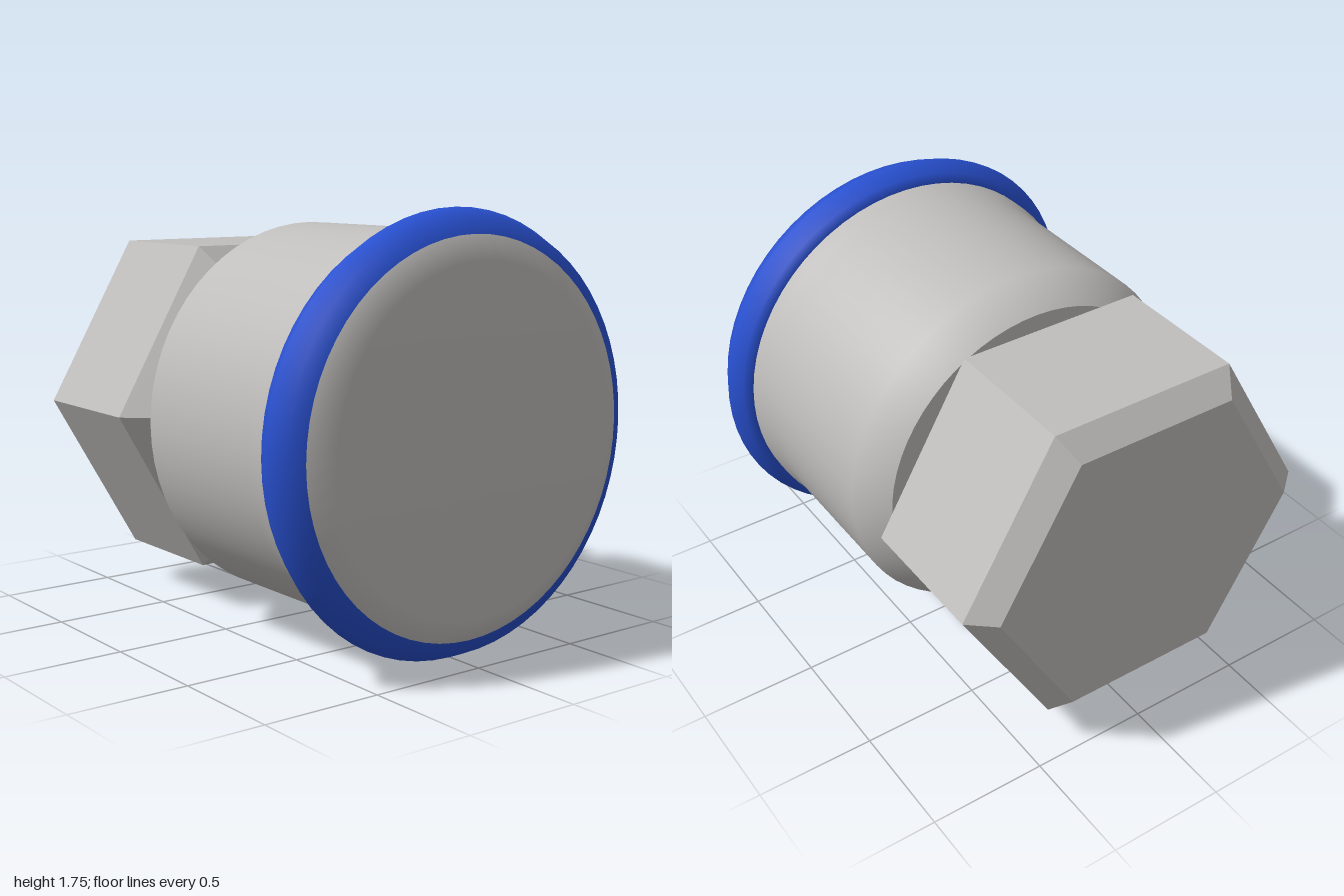
import * as THREE from 'three';

const CENTER_Y = 0.877;

// Revolves [x, radius] pairs, listed from -x to +x, around the x axis
function revolve(points, sides) {
  const geometry = new THREE.LatheGeometry(points.map(([x, r]) => new THREE.Vector2(r, x)), sides);
  return geometry.rotateZ(-Math.PI / 2);
}

export function createModel() {
  const steel = new THREE.MeshStandardMaterial({ color: 0xc0bebc });
  steel.name = 'steel';
  const blue = new THREE.MeshStandardMaterial({ color: 0x2850d0 });
  blue.name = 'blue';

  const model = new THREE.Group();
  model.name = 'pressFitting';
  const add = (name, geometry, material) => {
    const mesh = new THREE.Mesh(geometry, material);
    mesh.name = name;
    mesh.position.y = CENTER_Y;
    model.add(mesh);
  };

  // Chamfered hexagonal nut with faceted normals
  const nut = revolve([[-1, 0], [-1, 0.69], [-0.91, 0.797], [-0.33, 0.797], [-0.235, 0.69], [-0.235, 0]], 6).toNonIndexed();
  nut.computeVertexNormals();
  add('hexNut', nut, steel);

  // Flat shoulder behind the nut
  add('sleeveShoulder', revolve([[-0.237, 0], [-0.237, 0.69]], 64), steel);

  // Tapered sleeve that flares slightly towards the ring
  add('sleeve', revolve([[-0.237, 0.69], [-0.09, 0.79], [0.6, 0.79], [0.67, 0.803], [0.745, 0.803]], 64), steel);

  // Bulging seal ring
  add('sealRing', revolve([[0.74, 0.77], [0.74, 0.805], [0.76, 0.842], [0.835, 0.877], [0.912, 0.842], [0.945, 0.78]], 64), blue);

  // Softly shaded end cap
  add('endCap', revolve([[0.945, 0.78], [1, 0.685], [1, 0]], 64), steel);

  return model;
}
